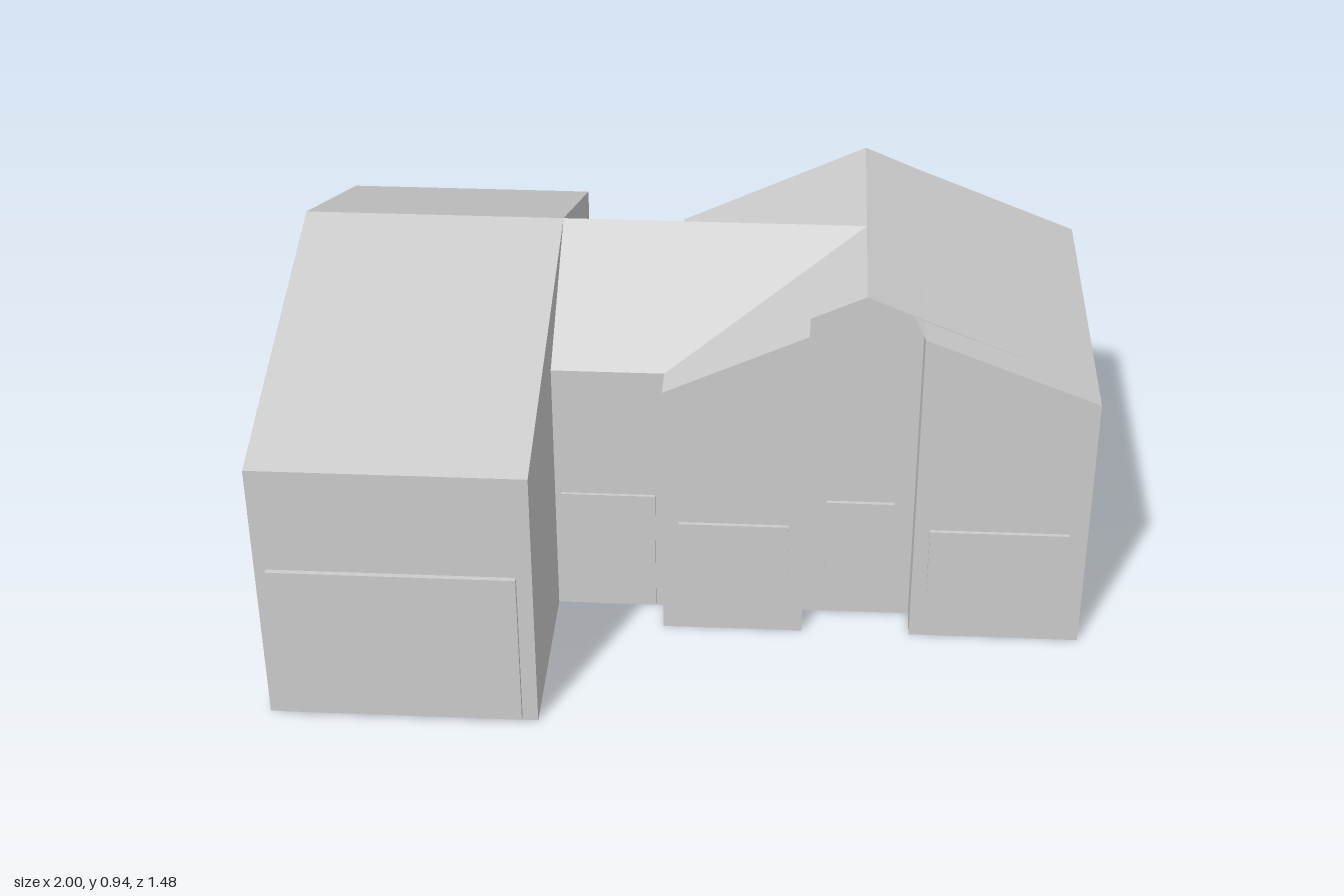
import * as THREE from 'three';

const EAVE = 0.705, RIDGE = 0.935;

export function createModel() {
  const house = new THREE.Group();
  house.name = 'house';
  const material = new THREE.MeshStandardMaterial({ color: 0xcccccc, flatShading: true, side: THREE.DoubleSide });

  const add = (name, geometry) => {
    const mesh = new THREE.Mesh(geometry, material);
    mesh.name = name;
    house.add(mesh);
  };

  // Solid with a wall-and-roof outline; topLine runs from left eave to right eave
  const prism = (topLine, from, to) => {
    const first = topLine[0], last = topLine[topLine.length - 1];
    const outline = [[first[0], 0], [last[0], 0], ...[...topLine].reverse()];
    const shape = new THREE.Shape(outline.map(p => new THREE.Vector2(...p)));
    return new THREE.ExtrudeGeometry(shape, { depth: to - from, bevelEnabled: false }).translate(0, 0, from);
  };

  // Ridge parallel to x: outline is drawn in (-z, y) and turned a quarter
  const crossPrism = (zFront, zRidge, zBack, x0, x1) =>
    prism([[-zFront, EAVE], [-zRidge, RIDGE], [-zBack, EAVE]], x0, x1).rotateY(Math.PI / 2);

  // Garage wing and the lower-depth link between the wings
  add('garageWing', crossPrism(0.727, -0.13, -0.74, -1, -0.34));
  add('linkWing', crossPrism(0.24, -0.13, -0.48, -0.34, 0.43));

  // Gabled main wing, ridge parallel to z, with two bays flanking the recessed entry
  const leftEave = [-0.06, EAVE], peak = [0.43, RIDGE], rightEave = [1, EAVE];
  const bayTop = 0.873;
  add('mainWing', prism([leftEave, peak, [0.57, bayTop + 0.003], rightEave], -0.587, 0.24));
  add('leftBay', prism([leftEave, [0.295, bayTop]], 0.24, 0.33));
  add('rightBay', prism([[0.57, bayTop], rightEave], 0.24, 0.33));

  // Small roof corner reaching over the entry recess
  const corner = new THREE.BufferGeometry().setFromPoints([
    new THREE.Vector3(0.57, bayTop, 0.24),
    new THREE.Vector3(0.545, 0.886, 0.24),
    new THREE.Vector3(0.57, bayTop, 0.33),
  ]);
  corner.computeVertexNormals();
  add('entryRoofCorner', corner);

  // Raised door and window panels: name, x range, y range, wall z, thickness
  const panels = [
    ['garageDoor', -0.972, -0.378, 0.01, 0.427, 0.727, 0.013],
    ['linkDoor', -0.325, -0.085, 0.01, 0.345, 0.24, 0.008],
    ['leftBayWindow', -0.02, 0.255, 0.135, 0.327, 0.33, 0.01],
    ['entryDoor', 0.35, 0.52, 0.01, 0.345, 0.24, 0.01],
    ['rightBayWindow', 0.608, 0.953, 0.135, 0.327, 0.33, 0.01],
  ];
  for (const [name, x0, x1, y0, y1, z, t] of panels) {
    add(name, new THREE.BoxGeometry(x1 - x0, y1 - y0, t).translate((x0 + x1) / 2, (y0 + y1) / 2, z + t / 2));
  }

  return house;
}
